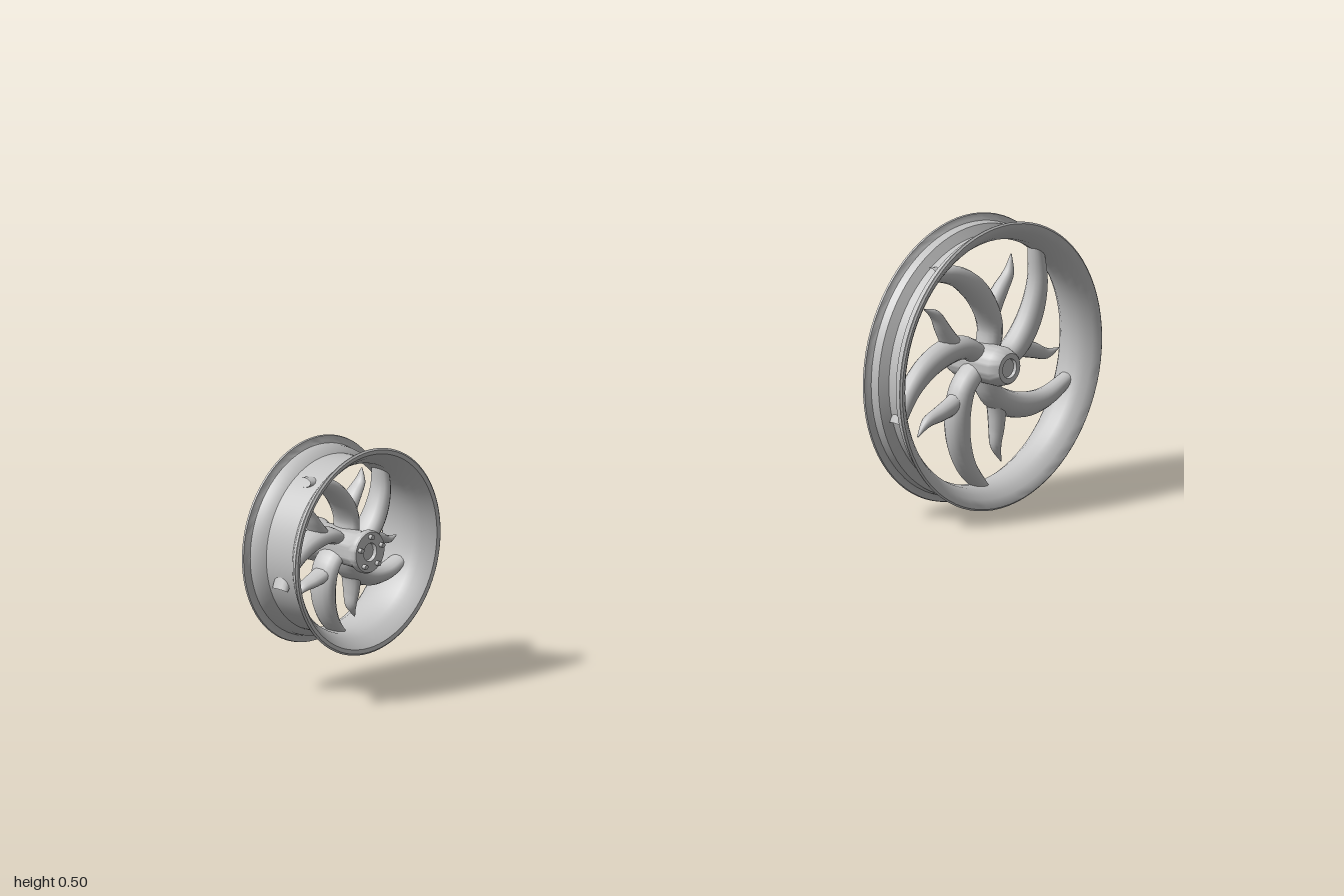
import * as THREE from 'three';
import { toCreasedNormals } from 'three/addons/utils/BufferGeometryUtils.js';

const metal = new THREE.MeshStandardMaterial({ color: 0xc4c4c4 });
metal.name = 'brushed metal';

function mesh(name, geometry) {
  const m = new THREE.Mesh(geometry, metal);
  m.name = name;
  return m;
}

// Turned part around z; the half profile of [radius, z] is mirrored front to back
function turned(half, segments = 80) {
  const mirrored = half.map(([r, z]) => [r, -z]).reverse();
  const points = [...half, ...mirrored].map(([r, z]) => new THREE.Vector2(r, z));
  const clean = points.filter((p, i) => i === 0 || p.distanceTo(points[i - 1]) > 1e-6);
  return toCreasedNormals(new THREE.LatheGeometry(clean, segments).rotateX(Math.PI / 2), 0.6);
}

// Curved blade with oval sections; stations are [radius, degrees, half width, half depth]
function blade(stations, R, depthScale) {
  const path = new THREE.CatmullRomCurve3(stations.map(([r, deg]) => {
    const a = THREE.MathUtils.degToRad(deg);
    return new THREE.Vector3(Math.cos(a) * r * R, Math.sin(a) * r * R, 0);
  }));
  const sizes = new THREE.CatmullRomCurve3(stations.map(s => new THREE.Vector3(s[2] * R, s[3] * depthScale, 0)));
  const steps = 24, sides = 14, pos = [], index = [];
  for (let i = 0; i <= steps; i++) {
    const p = path.getPoint(i / steps), t = path.getTangent(i / steps), s = sizes.getPoint(i / steps);
    for (let j = 0; j < sides; j++) {
      const a = j / sides * Math.PI * 2, w = Math.cos(a) * s.x;
      pos.push(p.x - t.y * w, p.y + t.x * w, Math.sin(a) * s.y);
      if (i < steps) {
        const k = (j + 1) % sides, n = i * sides;
        index.push(n + j, n + k, n + sides + j, n + k, n + sides + k, n + sides + j);
      }
    }
  }
  const g = new THREE.BufferGeometry();
  g.setAttribute('position', new THREE.Float32BufferAttribute(pos, 3));
  g.setIndex(index);
  g.computeVertexNormals();
  return g;
}

function wheel(name, { R, rim, hub, depth, boltRing, boltZ }) {
  const group = new THREE.Group();
  group.name = name;
  group.add(mesh('rim', turned(rim)), mesh('hub', turned(hub, 40)));

  // Five swept spokes, each with a thorn curling off its outer side
  const spoke = blade([
    [0.06, -22, 0.07, 1], [0.24, 0, 0.08, 1], [0.40, 16, 0.09, 0.95],
    [0.56, 29, 0.088, 0.85], [0.72, 41, 0.07, 0.75], [0.89, 54, 0.045, 0.6],
  ], R, depth);
  const thorn = blade([
    [0.20, 4, 0.05, 0.7], [0.36, 4, 0.065, 0.7], [0.50, -2, 0.055, 0.6],
    [0.63, -6, 0.038, 0.42], [0.76, -4, 0.003, 0.04],
  ], R, depth);
  for (let i = 0; i < 5; i++) {
    const arm = new THREE.Group();
    arm.name = 'spoke' + (i + 1);
    arm.rotation.z = i * Math.PI * 2 / 5;
    arm.add(mesh('spokeBlade', spoke), mesh('spokeThorn', thorn));
    group.add(arm);
  }

  // Hub bolts on both faces
  if (boltRing) {
    const bolt = new THREE.CylinderGeometry(0.0042, 0.0042, 0.012, 10).rotateX(Math.PI / 2);
    for (const side of [-1, 1]) for (let i = 0; i < 5; i++) {
      const a = (i + 0.25) * Math.PI * 2 / 5;
      const b = mesh('hubBolt', bolt);
      b.position.set(Math.cos(a) * boltRing, Math.sin(a) * boltRing, side * boltZ);
      group.add(b);
    }
  }
  return group;
}

export function createModel() {
  const model = new THREE.Group();
  model.name = 'wheelSet';

  // Tall narrow wheel with a tapered hub
  const tall = wheel('tallWheel', {
    R: 0.248, depth: 0.024,
    rim: [
      [0.219, 0], [0.219, 0.010], [0.234, 0.020], [0.236, 0.035], [0.240, 0.038], [0.247, 0.040],
      [0.248, 0.043], [0.245, 0.0455], [0.238, 0.044], [0.230, 0.038], [0.222, 0.030], [0.214, 0.018], [0.211, 0],
    ],
    hub: [[0.034, 0], [0.034, 0.044], [0.028, 0.061], [0.026, 0.063], [0.017, 0.063], [0.016, 0.057], [0, 0.057]],
  });
  tall.position.set(0.752, 0.248, 0);

  // Short wide wheel with a bolted hub
  const wide = wheel('wideWheel', {
    R: 0.178, depth: 0.028,
    rim: [
      [0.152, 0], [0.152, 0.030], [0.163, 0.042], [0.165, 0.055], [0.170, 0.058], [0.177, 0.059],
      [0.178, 0.062], [0.175, 0.0645], [0.168, 0.063], [0.160, 0.054], [0.153, 0.042], [0.146, 0.030], [0.145, 0],
    ],
    hub: [[0.030, 0], [0.032, 0.045], [0.037, 0.056], [0.037, 0.064], [0.035, 0.067], [0.016, 0.067], [0.015, 0.060], [0, 0.060]],
    boltRing: 0.027, boltZ: 0.068,
  });
  wide.position.set(-0.822, 0.246, 0);

  model.add(tall, wide);
  return model;
}
